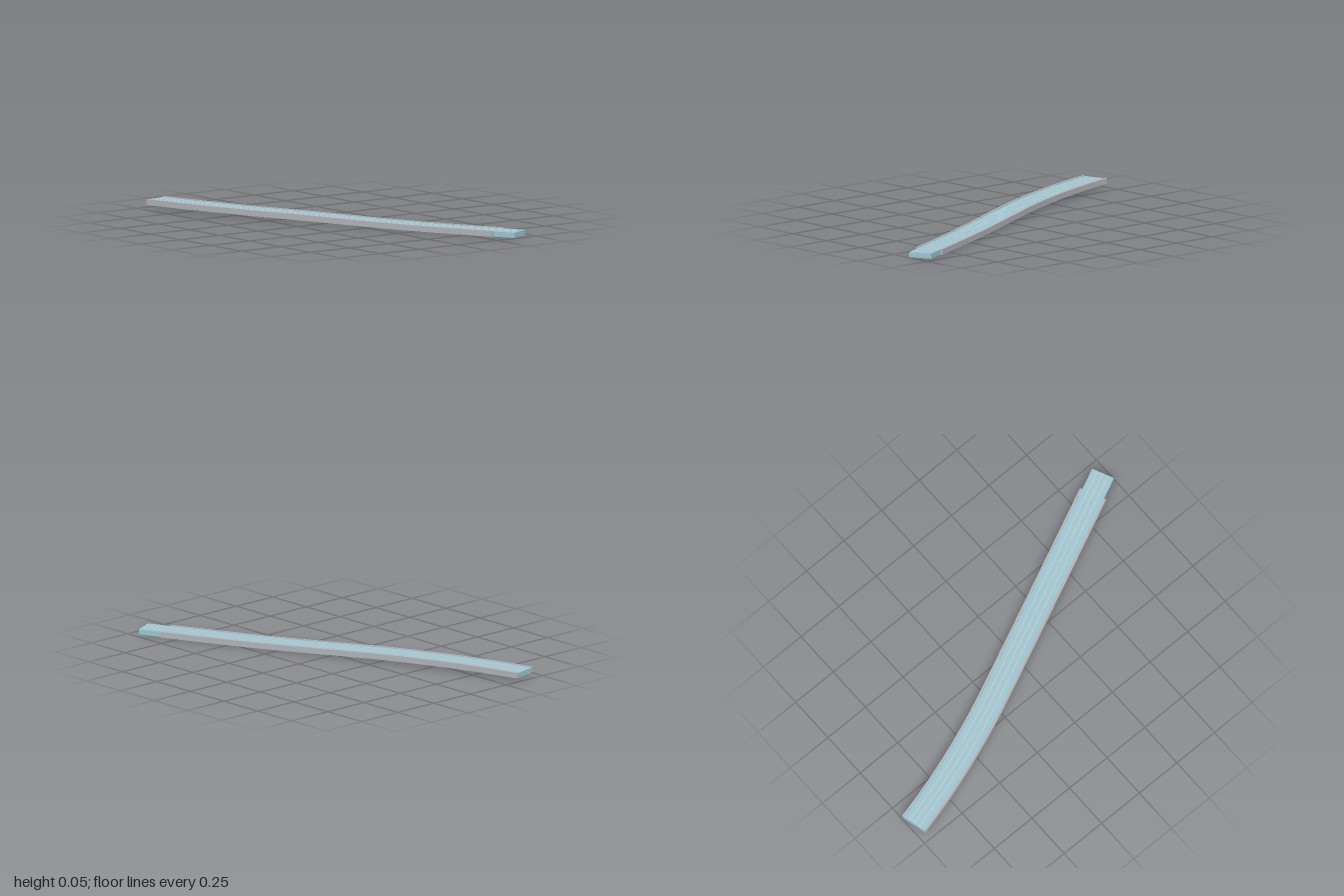
import * as THREE from 'three';

const deckMat = new THREE.MeshStandardMaterial({ color: 0x9cc8d4 });
deckMat.name = 'pale blue';
const railMat = new THREE.MeshStandardMaterial({ color: 0xb2b5bb });
railMat.name = 'grey';
const stripMat = new THREE.MeshStandardMaterial({ color: 0xc2c6cb });
stripMat.name = 'light grey';

const START = -0.982, RAIL_END = 0.862, END = 0.972;

// Underside height along x, as [x, y] knots
const heights = [[-1, 0.018], [-0.64, 0.0165], [-0.2, 0.0125], [0, 0.0085], [0.2, 0.0035], [0.4, 0.0005], [0.6, 0], [1, 0.002]];
function baseHeight(x) {
  const i = Math.max(1, heights.findIndex(h => h[0] >= x));
  const [x0, y0] = heights[i - 1], [x1, y1] = heights[i];
  return THREE.MathUtils.lerp(y0, y1, (x - x0) / (x1 - x0));
}

// Centre line: straight on the right, bending gently on the left
function place(x, u, v) {
  const bend = Math.min(0, x + 0.18);
  const z = 0.032 - 0.461 * x - 0.138 * bend * bend;
  const slope = -0.461 - 0.276 * bend;
  const len = Math.hypot(1, slope);
  return [x - u * slope / len, baseHeight(x) + v, z + u / len];
}

// Sweep a rectangular section (u across, v up) along the centre line
function sweep(name, material, u0, u1, v0, v1, xEnd) {
  const section = [[u0, v0], [u0, v1], [u1, v1], [u1, v0]];
  const steps = 32, rings = [], pos = [];
  for (let i = 0; i <= steps; i++) {
    const x = THREE.MathUtils.lerp(START, xEnd, i / steps);
    rings.push(section.map(([u, v]) => place(x, u, v)));
  }
  const quad = (a, b, c, d) => pos.push(...a, ...b, ...c, ...a, ...c, ...d);
  for (let i = 0; i < steps; i++) {
    for (let j = 0; j < 4; j++) {
      const k = (j + 1) % 4;
      quad(rings[i][j], rings[i][k], rings[i + 1][k], rings[i + 1][j]);
    }
  }
  const [a, b, c, d] = rings[0];
  quad(d, c, b, a);
  quad(...rings[steps]);
  const geo = new THREE.BufferGeometry();
  geo.setAttribute('position', new THREE.Float32BufferAttribute(pos, 3));
  geo.computeVertexNormals();
  const mesh = new THREE.Mesh(geo, material);
  mesh.name = name;
  return mesh;
}

export function createModel() {
  const group = new THREE.Group();
  group.name = 'trackSection';

  // Deck, running past the rails at the right-hand end
  group.add(sweep('deck', deckMat, -0.06, 0.06, 0, 0.0265, END));

  // Side rails, standing slightly proud of the deck
  group.add(sweep('backRail', railMat, -0.0725, -0.06, 0, 0.0295, RAIL_END));
  group.add(sweep('frontRail', railMat, 0.06, 0.0725, 0, 0.0295, RAIL_END));

  // Lane strips
  for (const u of [-0.03, 0, 0.03]) {
    group.add(sweep('laneStrip', stripMat, u - 0.004, u + 0.004, 0.0262, 0.0272, END));
  }
  return group;
}
